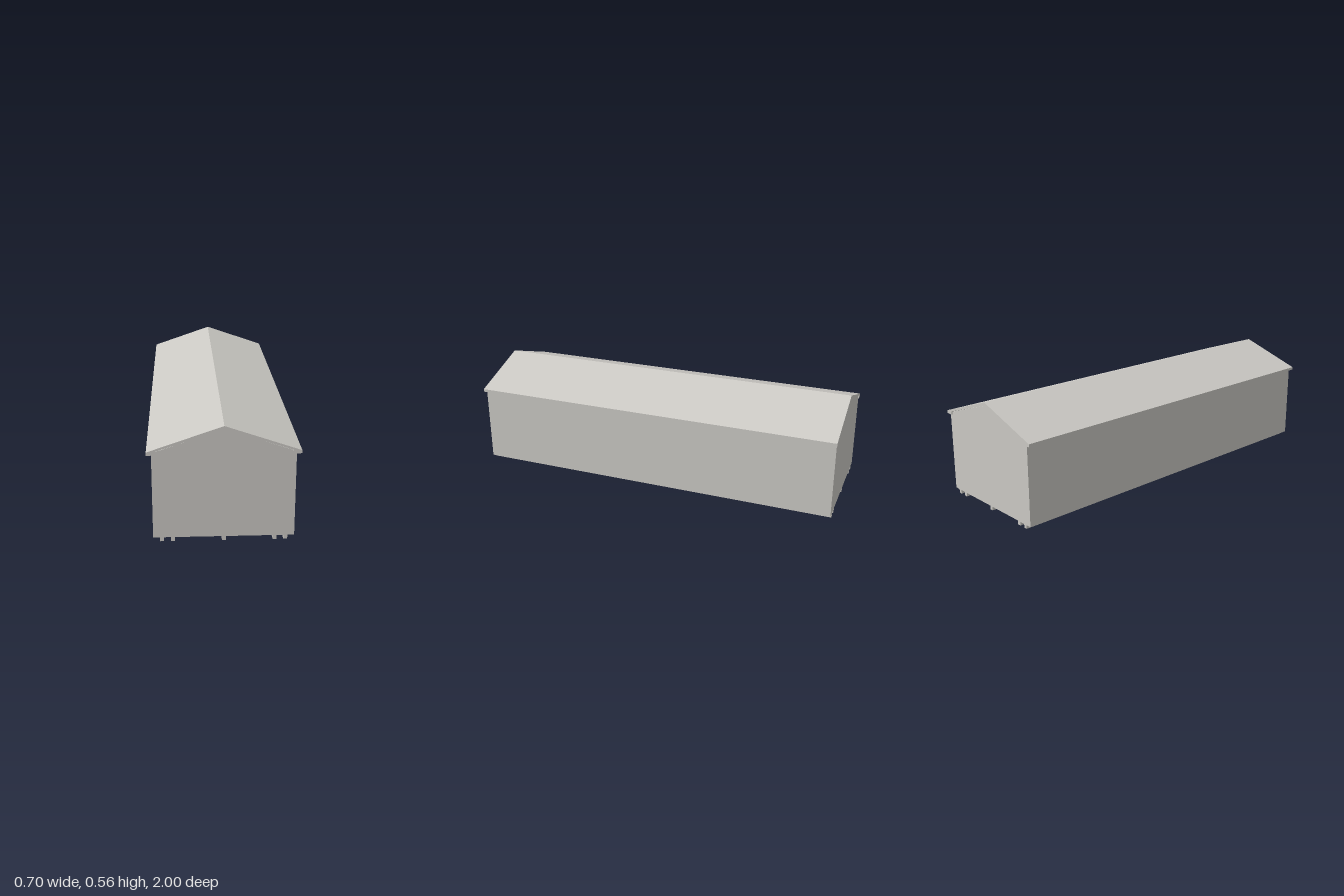
import * as THREE from 'three';

export function createModel() {
  const group = new THREE.Group();
  const grey = new THREE.MeshStandardMaterial({ color: 0xcccac5 });
  grey.name = 'light grey';

  const add = (name, geometry, x = 0, y = 0, z = 0) => {
    const mesh = new THREE.Mesh(geometry, grey);
    mesh.name = name;
    mesh.position.set(x, y, z);
    group.add(mesh);
  };
  // Front-facing outline extruded along z and centred on z = 0
  const slab = (points, depth) => {
    const shape = new THREE.Shape(points.map(([x, y]) => new THREE.Vector2(x, y)));
    return new THREE.ExtrudeGeometry(shape, { depth, bevelEnabled: false }).translate(0, 0, -depth / 2);
  };

  const base = 0.02, eave = 0.428, wall = 0.0135, half = 0.327, length = 1.99;

  // Roof: sloping slab with boxed eaves, open underneath
  add('roof', slab([
    [0, 0.563], [-0.35, 0.443], [-0.35, eave], [-0.311, eave], [-0.311, 0.446],
    [0, 0.546], [0.311, 0.446], [0.311, eave], [0.35, eave], [0.35, 0.443],
  ], 2));

  // Long side walls
  for (const [name, s] of [['leftWall', 1], ['rightWall', -1]]) {
    add(name, new THREE.BoxGeometry(wall, eave - base, length), s * (half - wall / 2), (eave + base) / 2, 0);
  }

  // Gable end walls, set between the side walls
  const inner = half - wall;
  const gable = slab([[-inner, base], [inner, base], [inner, 0.442], [0, 0.5455], [-inner, 0.442]], wall);
  for (const [name, s] of [['frontGable', 1], ['backGable', -1]]) {
    add(name, gable, 0, 0, s * (length - wall) / 2);
  }

  // Ground skids along the open underside
  const skid = new THREE.BoxGeometry(0.0185, base, length);
  for (const x of [-0.286, -0.236, 0, 0.236, 0.286]) add('skid', skid, x, base / 2, 0);

  return group;
}
